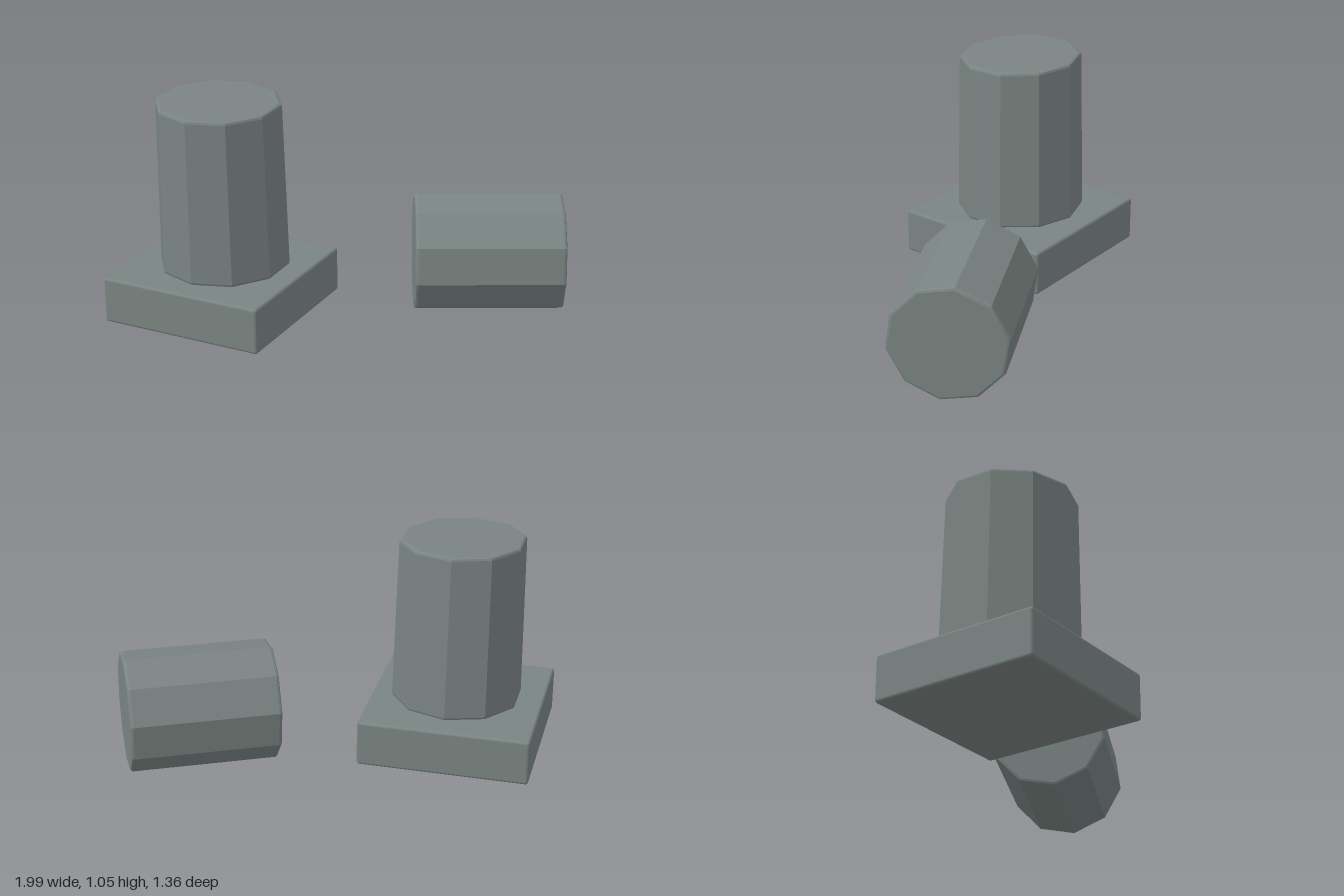
import * as THREE from 'three';
import { RoundedBoxGeometry } from 'three/addons/geometries/RoundedBoxGeometry.js';
import { toCreasedNormals } from 'three/addons/utils/BufferGeometryUtils.js';

const SIDES = 10;

// Ten-sided drum standing on y = 0, with softly bevelled rims
function drumGeometry(bottomRadius, topRadius, height, phase = 0) {
  const b = 0.014, k = b * 0.3;
  const profile = [
    [0, 0], [bottomRadius - b, 0], [bottomRadius - k, k], [bottomRadius, b],
    [topRadius, height - b], [topRadius - k, height - k], [topRadius - b, height], [0, height],
  ].map(([r, y]) => new THREE.Vector2(r, y));
  return new THREE.LatheGeometry(profile, SIDES, phase, Math.PI * 2);
}

export function createModel() {
  const model = new THREE.Group();
  model.name = 'brokenColumn';

  const stone = new THREE.MeshStandardMaterial({ color: 0x7a8482 });
  stone.name = 'grey stone';

  const add = (name, geometry, x, y, z) => {
    const mesh = new THREE.Mesh(geometry, stone);
    mesh.name = name;
    mesh.position.set(x, y, z);
    model.add(mesh);
    return mesh;
  };

  // Square plinth
  add('plinth', new RoundedBoxGeometry(0.825, 0.225, 0.825, 2, 0.014), -0.5875, 0.1125, 0.2625);

  // Standing shaft: slight taper and lean, with ends a little out of level
  const height = 0.813;
  const shaft = drumGeometry(0.315, 0.301, height);
  const p = shaft.attributes.position;
  for (let i = 0; i < p.count; i++) {
    const x = p.getX(i), y = p.getY(i), z = p.getZ(i), t = y / height;
    p.setXYZ(i,
      x - 0.007 * t,
      y - z * (0.02 + 0.012 * t) - x * 0.015 * t,
      z + 0.01 * t);
  }
  add('standingShaft', toCreasedNormals(shaft, 0.3), -0.578, 0.232, 0.256);

  // Fallen drum lying on its side
  const length = 0.704;
  const fallen = drumGeometry(0.284, 0.284, length, THREE.MathUtils.degToRad(-97.3));
  fallen.translate(0, -length / 2, 0);
  fallen.rotateZ(-Math.PI / 2);
  fallen.rotateY(THREE.MathUtils.degToRad(26.57));
  add('fallenDrum', toCreasedNormals(fallen, 0.3), 0.56, 0.2925, -0.28);

  return model;
}
